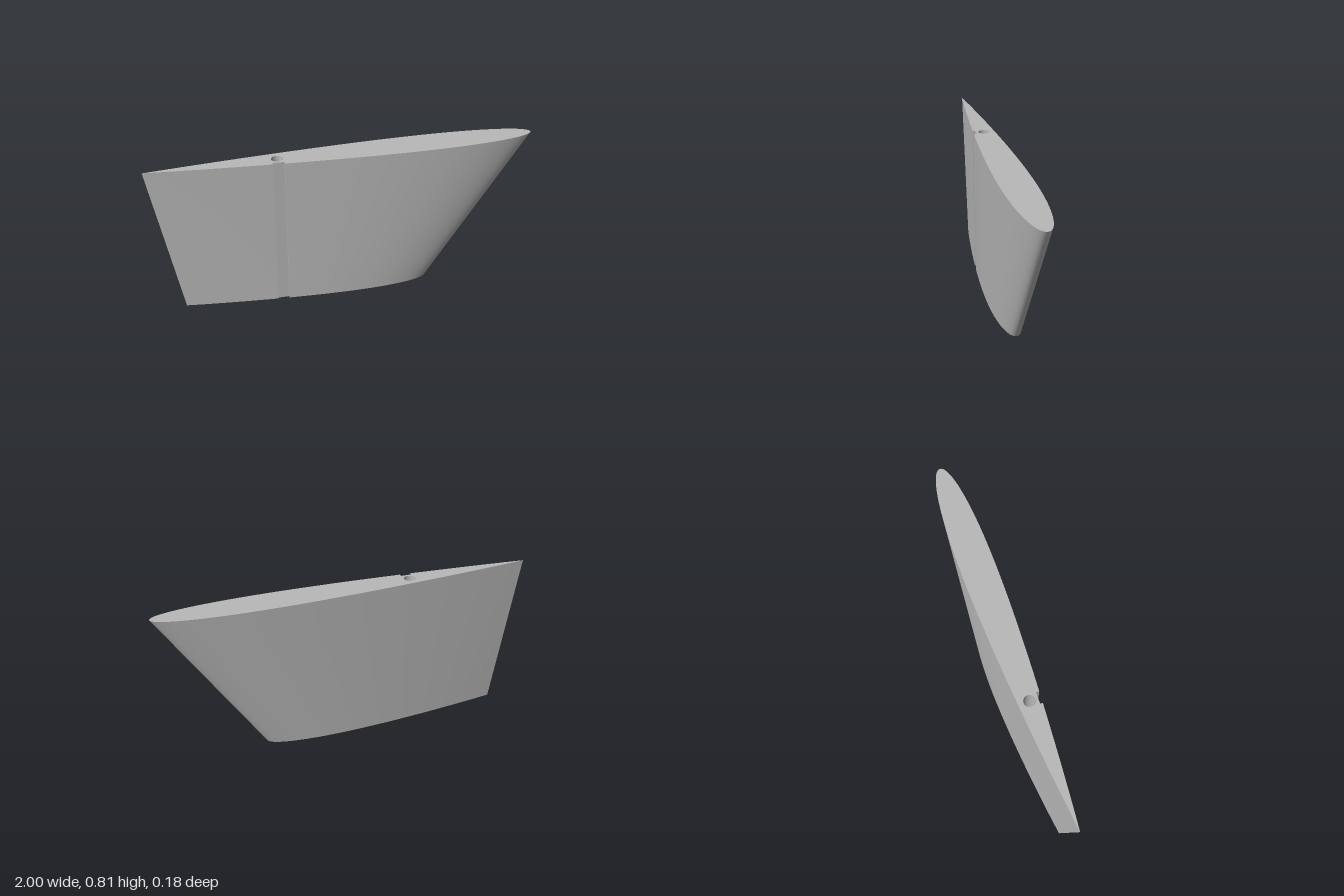
import * as THREE from 'three';

const HEIGHT = 0.81;
const SLOT = { left: -0.37, right: -0.31, floor: 0.043 };
const ROD = { x: -0.34, r: 0.03 };
const PIN = { x: 0.165, r: 0.013, depth: 0.12 };
const LEVELS = 8;

const grey = new THREE.MeshStandardMaterial({ color: 0xb8b8b8, side: THREE.DoubleSide });
grey.name = 'grey';

// Tapered planform: nose, tail and half thickness at height y
function section(y) {
  const k = y / HEIGHT, mix = THREE.MathUtils.lerp;
  return { nose: mix(0.455, 1, k), tail: mix(-0.85, -1, k), half: mix(0.071, 0.089, k) };
}

// Symmetric aerofoil half thickness at x
function halfThickness(x, s) {
  const f = THREE.MathUtils.clamp((s.nose - x) / (s.nose - s.tail), 0, 1);
  return s.half * 10 * Math.max(0, 0.2969 * Math.sqrt(f) - 0.126 * f
    - 0.3516 * f * f + 0.2843 * f ** 3 - 0.1036 * f ** 4);
}

// Outline runs [x, z], clockwise seen from above, starting at the tail
function outlineRuns(y) {
  const s = section(y), main = [], rear = [];
  const n = 40, m = 28, c = 10;
  for (let i = 0; i <= n; i++) { // back face, tail to nose
    const x = s.nose - (s.nose - s.tail) * (1 - Math.sin((i / n) * Math.PI / 2));
    main.push([x, -halfThickness(x, s)]);
  }
  for (let i = 1; i <= m; i++) { // front face, nose to slot
    const x = s.nose - (s.nose - SLOT.right) * (1 - Math.cos((i / m) * Math.PI / 2));
    main.push([x, halfThickness(x, s)]);
  }
  for (let i = 0; i <= c; i++) { // front face, slot to tail
    const x = THREE.MathUtils.lerp(SLOT.left, s.tail, i / c);
    rear.push([x, halfThickness(x, s)]);
  }
  const a = [SLOT.right, SLOT.floor], b = [SLOT.left, SLOT.floor];
  return { main, slotFront: [main.at(-1), a], slotFloor: [a, b], slotRear: [b, rear[0]], rear };
}

// Skin one run of the outline through all levels
function loft(name) {
  const pos = [], idx = [];
  let count = 0;
  for (let j = 0; j <= LEVELS; j++) {
    const y = HEIGHT * j / LEVELS, run = outlineRuns(y)[name];
    count = run.length;
    for (const [x, z] of run) pos.push(x, y, z);
  }
  for (let j = 0; j < LEVELS; j++) {
    for (let i = 0; i < count - 1; i++) {
      const p = j * count + i, q = p + count;
      idx.push(p, q, p + 1, p + 1, q, q + 1);
    }
  }
  const g = new THREE.BufferGeometry();
  g.setAttribute('position', new THREE.Float32BufferAttribute(pos, 3));
  g.setIndex(idx);
  g.computeVertexNormals();
  return g;
}

// Flat end with its holes; up is +1 for the top and -1 for the bottom
function endCap(y, up, holes) {
  const r = outlineRuns(y);
  const pts = [...r.main, ...r.slotFloor, ...r.rear.slice(0, -1)];
  const shape = new THREE.Shape(pts.map(([x, z]) => new THREE.Vector2(x, -up * z)));
  for (const h of holes) {
    shape.holes.push(new THREE.Path().absarc(h.x, 0, h.r, 0, Math.PI * 2, true));
  }
  return new THREE.ShapeGeometry(shape, 16).rotateX(-up * Math.PI / 2).translate(0, y, 0);
}

function bore(h, depth) {
  return new THREE.CylinderGeometry(h.r, h.r, depth, 32, 1, true).translate(h.x, depth / 2, 0);
}

export function createModel() {
  const group = new THREE.Group();
  group.name = 'fin';
  const add = (name, geometry) => {
    const mesh = new THREE.Mesh(geometry, grey);
    mesh.name = name;
    group.add(mesh);
  };

  // Fin skin and the slot down its front face
  add('mainSkin', loft('main'));
  add('rearSkin', loft('rear'));
  for (const name of ['slotFront', 'slotFloor', 'slotRear']) add(name, loft(name));

  // Ends
  add('topEnd', endCap(HEIGHT, 1, [ROD]));
  add('bottomEnd', endCap(0, -1, [ROD, PIN]));

  // Through hole for the rod and blind hole for the pin
  add('rodHole', bore(ROD, HEIGHT));
  add('pinHole', bore(PIN, PIN.depth));
  add('pinHoleEnd', new THREE.CircleGeometry(PIN.r, 32).rotateX(Math.PI / 2)
    .translate(PIN.x, PIN.depth, 0));
  return group;
}
